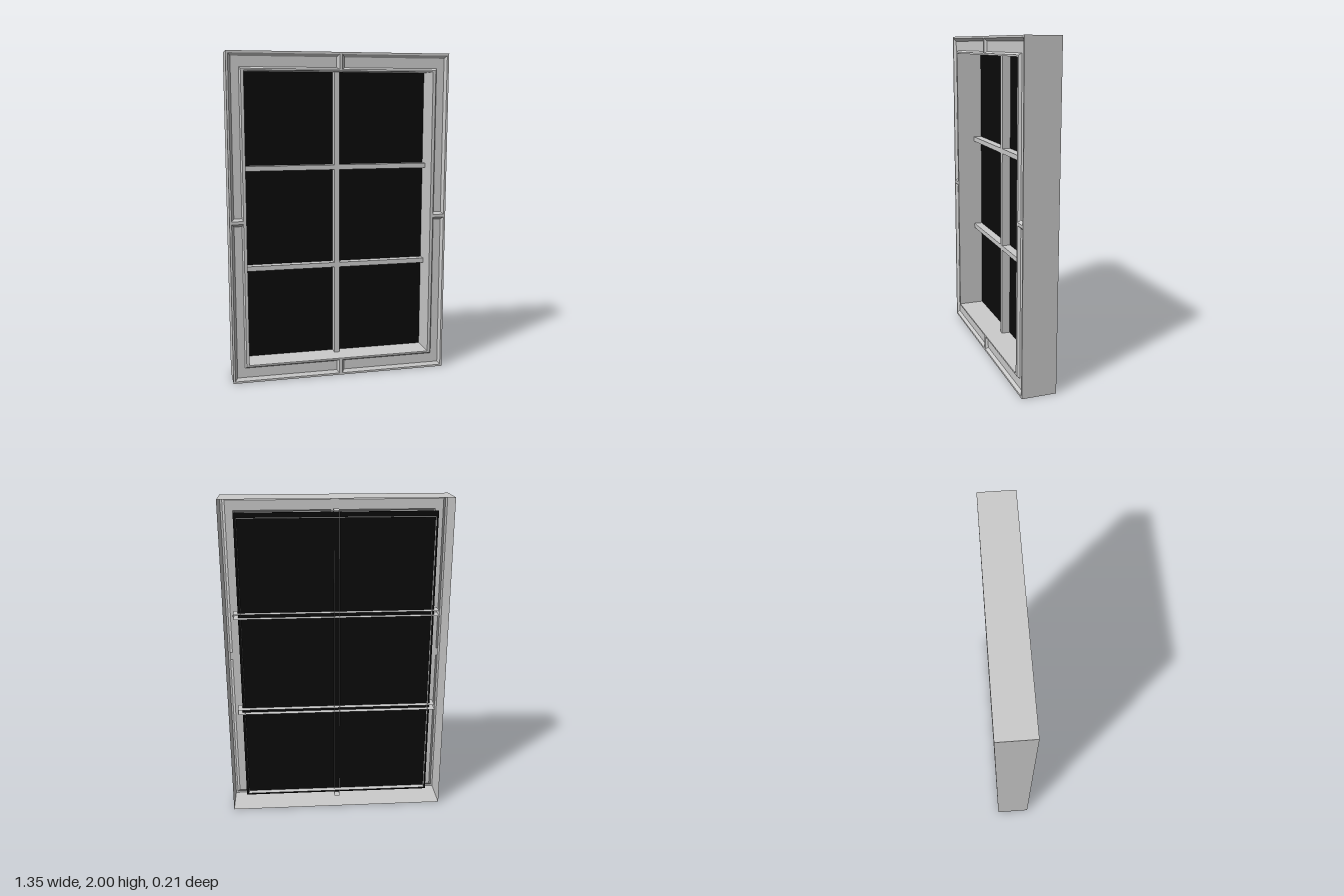
import * as THREE from 'three';

const grey = new THREE.MeshStandardMaterial({ color: 0xcccccc, flatShading: true, side: THREE.DoubleSide });
const dark = new THREE.MeshStandardMaterial({ color: 0x0a0a0a, side: THREE.DoubleSide });

// Skin between successive rectangular rings given as [halfWidth, halfHeight, z]
function ringShell(rings) {
  const pos = [];
  const corner = ([w, h, z], i) => [[w, h, z], [-w, h, z], [-w, -h, z], [w, -h, z]][i % 4];
  for (let r = 0; r < rings.length - 1; r++) {
    for (let i = 0; i < 4; i++) {
      const a = corner(rings[r], i), b = corner(rings[r], i + 1);
      const c = corner(rings[r + 1], i + 1), d = corner(rings[r + 1], i);
      pos.push(...a, ...b, ...c, ...a, ...c, ...d);
    }
  }
  const geo = new THREE.BufferGeometry();
  geo.setAttribute('position', new THREE.Float32BufferAttribute(pos, 3));
  geo.computeVertexNormals();
  return geo;
}

// Hollow box without its back face
function openBackBox(w, h, d) {
  const geo = new THREE.BoxGeometry(w, h, d);
  geo.setIndex(Array.from(geo.index.array).slice(0, 30));
  geo.clearGroups();
  return geo;
}

export function createModel() {
  const group = new THREE.Group();
  const add = (name, geo, mat, x, y, z) => {
    const mesh = new THREE.Mesh(geo, mat);
    mesh.name = name;
    mesh.position.set(x, y, z);
    group.add(mesh);
    return mesh;
  };

  // Casing: outer wall, raised rim, sunken panel, inner lip and deep reveal, open at the back
  add('windowFrame', ringShell([
    [0.677, 1, -0.105], [0.677, 1, 0.105],
    [0.665, 0.988, 0.105], [0.65, 0.97, 0.09],
    [0.603, 0.91, 0.09], [0.594, 0.9, 0.105],
    [0.576, 0.89, 0.105], [0.576, 0.89, -0.095],
  ]), grey, 0, 1, 0);

  // Glass, slightly larger than the opening
  add('glassPane', new THREE.PlaneGeometry(1.186, 1.84), dark, 0, 1, -0.06);

  // Glazing bars run through the glass and past the reveal
  const front = -0.008, back = -0.095, depth = front - back, mid = (front + back) / 2;
  add('verticalBar', openBackBox(0.034, 1.86, depth), grey, 0, 1, mid);
  for (const y of [0.69, 1.31]) {
    add('horizontalBar', openBackBox(1.24, 0.03, depth), grey, 0, y, mid);
  }

  // Bevelled ribs across the middle of each side of the sunken panel
  const section = new THREE.Shape([[-0.024, 0], [0.024, 0], [0.009, 0.015], [-0.009, 0.015]]
    .map(([x, y]) => new THREE.Vector2(x, y)));
  const rib = (length) => new THREE.ExtrudeGeometry(section, { depth: length, bevelEnabled: false })
    .translate(0, 0, -length / 2).rotateX(Math.PI / 2);
  for (const s of [-1, 1]) {
    add('panelRib', rib(0.088), grey, 0, 1 + s * 0.944, 0.09);
    add('panelRib', rib(0.071), grey, s * 0.6295, 1, 0.09).rotation.z = Math.PI / 2;
  }

  return group;
}
